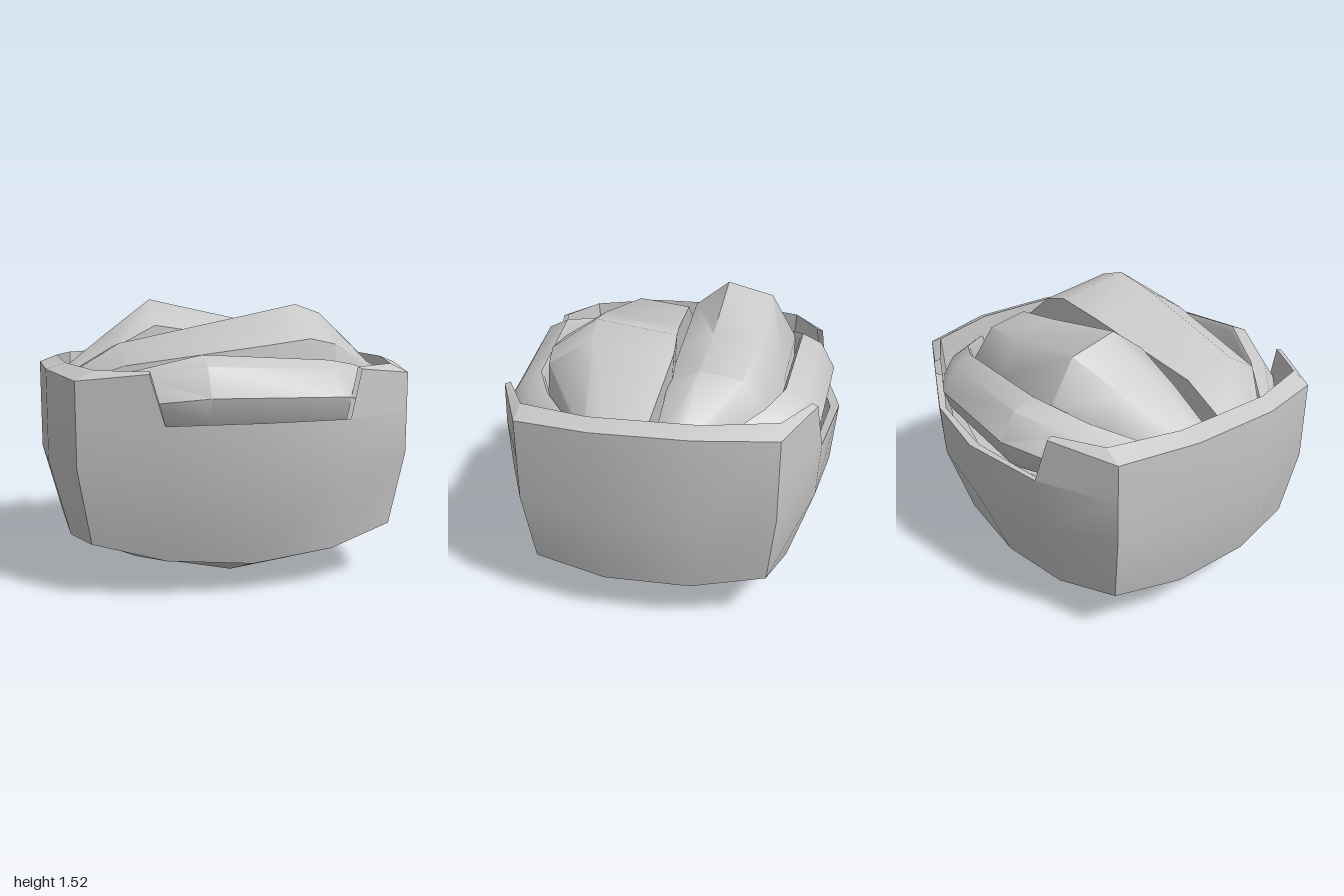
import * as THREE from 'three';
import { toCreasedNormals } from 'three/addons/utils/BufferGeometryUtils.js';

const grey = new THREE.MeshStandardMaterial({ color: 0xc8c8c8, side: THREE.DoubleSide });
grey.name = 'plain grey';

// Surface through a grid of points: rows of equal length, flip reverses the faces
function skin(name, rows, flip = false) {
  const n = rows[0].length, index = [];
  for (let i = 0; i < rows.length - 1; i++) {
    for (let j = 0; j < n - 1; j++) {
      const a = i * n + j, b = a + 1, d = a + n, c = d + 1;
      index.push(...(flip ? [a, c, b, a, d, c] : [a, b, c, a, c, d]));
    }
  }
  const geo = new THREE.BufferGeometry();
  geo.setAttribute('position', new THREE.Float32BufferAttribute(rows.flat(2), 3));
  geo.setIndex(index);
  const mesh = new THREE.Mesh(toCreasedNormals(geo, 0.75), grey);
  mesh.name = name;
  return mesh;
}

// Extend a half row to the other side across one axis
const mirrorRow = (row, axis) => [
  ...row,
  ...row.filter((p) => p[axis] !== 0).reverse().map((p) => p.map((v, k) => (k === axis ? -v : v))),
];

// Loft along x: sections are [x, zStart, zEnd, top], profile is [fraction of width, fraction of height]
function loft(name, sections, profile, base, flip) {
  const rows = sections.map(([x, z0, z1, top]) =>
    profile.map(([w, h]) => [x, base + (top - base) * h, z0 + (z1 - z0) * w]));
  return skin(name, rows, flip);
}

function createTub() {
  const tub = new THREE.Group();
  tub.name = 'tub';

  for (const turn of [0, Math.PI]) {
    const half = new THREE.Group();
    half.name = turn ? 'backAndRightWalls' : 'frontAndLeftWalls';
    half.rotation.y = turn;

    // Bulging long wall with its low middle edge
    half.add(skin('longWall', [
      [[-0.82, 0.3, 0.62], [-0.45, 0.21, 0.71], [0, 0.17, 0.74]],
      [[-0.89, 0.7, 0.66], [-0.48, 0.63, 0.84], [0, 0.6, 0.91]],
      [[-0.89, 0.93, 0.66], [-0.48, 0.93, 0.855], [0, 0.94, 0.94]],
      [[-0.8, 0.93, 0.63], [-0.47, 0.92, 0.82], [0, 0.93, 0.89]],
      [[-0.79, 0.75, 0.63], [-0.46, 0.75, 0.78], [0, 0.75, 0.85]],
    ].map((r) => mirrorRow(r, 0))));

    // Raised tabs either side of the notch
    for (const s of [-1, 1]) {
      half.add(skin('wallTab', [
        [[0.48, 0.93, 0.855], [0.89, 0.93, 0.66]],
        [[0.55, 1.18, 0.82], [0.89, 1.14, 0.66]],
        [[0.54, 1.19, 0.79], [0.79, 1.19, 0.65]],
        [[0.47, 0.92, 0.82], [0.79, 0.9, 0.63]],
      ].map((r) => r.map(([x, y, z]) => [x * s, y, z])), s < 0));
    }

    // Bulging end wall with a thick rim turning inward
    half.add(skin('endWall', [
      [[0.82, 0.3, 0.62], [0.89, 0.25, 0.23]],
      [[0.89, 0.7, 0.66], [1, 0.67, 0.25]],
      [[0.89, 1.14, 0.66], [1, 1.165, 0.25]],
      [[0.79, 1.19, 0.65], [0.9, 1.2, 0.28]],
      [[0.79, 0.75, 0.63], [0.9, 0.75, 0.28]],
    ].map((r) => mirrorRow(r, 2))));
    tub.add(half);
  }

  // Shallow domed underside
  const edge = mirrorRow([[-0.82, 0.3, 0.62], [-0.45, 0.21, 0.71], [0, 0.17, 0.74]], 0);
  const inner = mirrorRow([[-0.89, 0.25, 0.23], [-0.54, 0.11, 0.27], [0, 0, 0.3]], 0);
  const toBack = (row) => row.map(([x, y, z]) => [x, y, -z]);
  tub.add(skin('underside', [toBack(edge), toBack(inner), inner, edge]));

  // Hidden bed closing the space below the folds
  tub.add(skin('innerBed', [-1, 1].map((s) =>
    [[-0.79, 0.85, 0.63 * s], [0, 0.85, 0.86 * s], [0.79, 0.85, 0.63 * s]]), true));
  return tub;
}

export function createModel() {
  const model = new THREE.Group();
  model.name = 'filledTub';
  model.add(createTub());

  // Two large overlapping folds
  model.add(loft('frontFold', [
    [-0.92, 0.04, 0.28, 1.1], [-0.62, 0.02, 0.53, 1.3], [0.1, -0.04, 0.65, 1.45],
    [0.35, -0.07, 0.645, 1.5], [0.5, -0.08, 0.62, 1.45], [0.9, 0, 0.32, 1.13],
  ], [[0.05, -0.3], [0, 0.87], [0.6, 1], [0.95, 0.65], [1, -0.3]], 1));
  model.add(loft('backFold', [
    [-0.92, -0.05, -0.3, 1.1], [-0.6, -0.04, -0.52, 1.34], [-0.35, -0.05, -0.68, 1.52],
    [0.2, -0.04, -0.65, 1.4], [0.55, -0.04, -0.58, 1.33], [0.9, -0.04, -0.25, 1.12],
  ], [[0, -0.3], [0.03, 0.72], [0.33, 1], [0.74, 0.87], [0.97, 0.4], [1, -0.3]], 1, true));

  // Slim rolls showing through the notches
  for (const s of [1, -1]) {
    const sections = [
      [-0.9, 0.3, 0.44, 1.08], [-0.55, 0.55, 0.77, 1.18], [-0.26, 0.69, 0.9, 1.26],
      [0.44, 0.635, 0.84, 1.215], [0.62, 0.55, 0.75, 1.18], [0.9, 0.3, 0.44, 1.08],
    ].map(([x, a, b, t]) => [x, a * s, b * s, t]);
    model.add(loft(s > 0 ? 'frontRoll' : 'backRoll', sections,
      [[-0.1, 0], [0, 0.93], [0.08, 1], [0.6, 0.86], [1, 0.45], [0.82, 0.1], [0.7, 0]], 0.9, s < 0));
  }
  return model;
}
